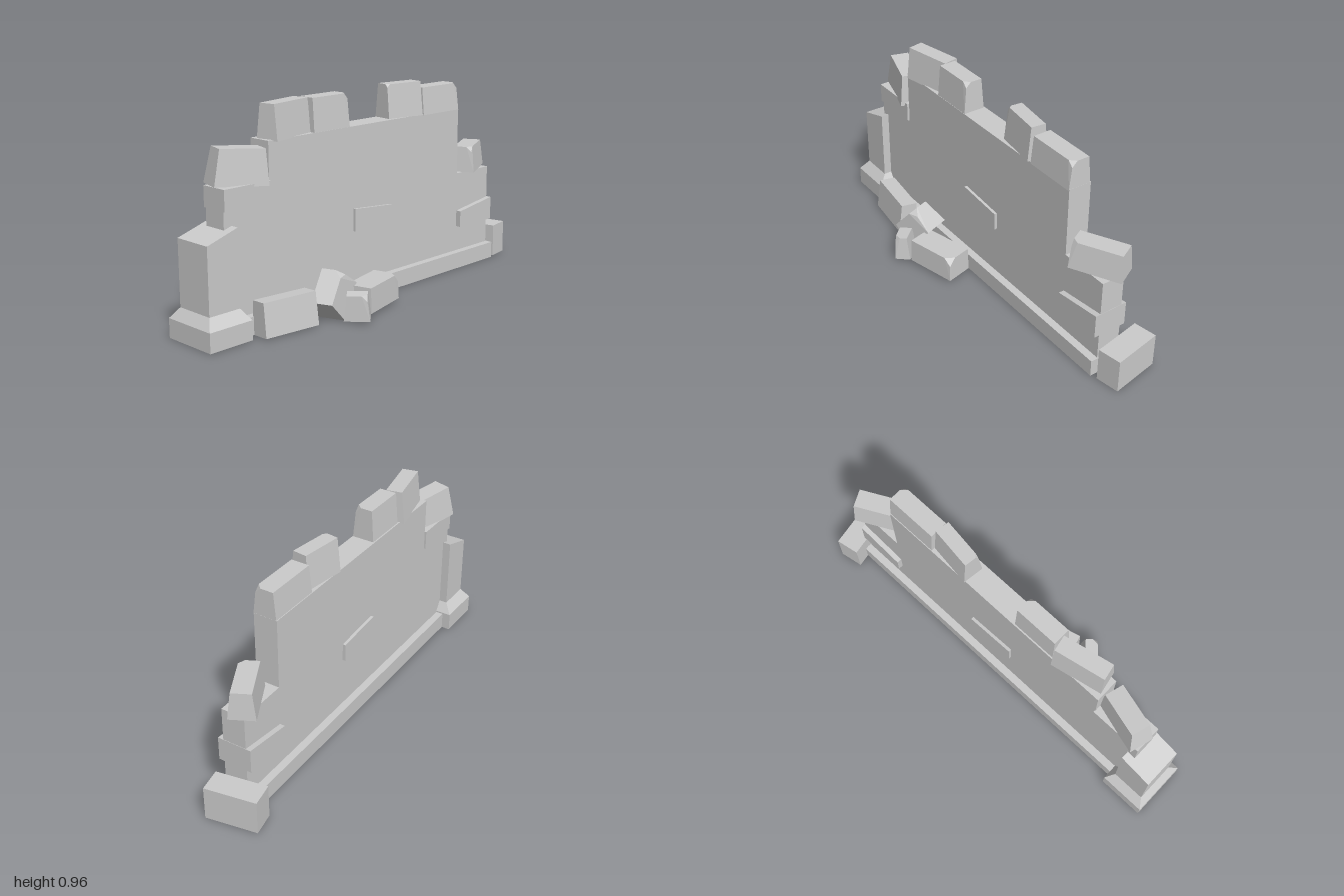
import * as THREE from 'three';
import { ConvexGeometry } from 'three/addons/geometries/ConvexGeometry.js';

const material = new THREE.MeshStandardMaterial({ color: 0xcccccc, flatShading: true });

function hull(name, points) {
  const mesh = new THREE.Mesh(new ConvexGeometry(points.map(p => new THREE.Vector3(...p))), material);
  mesh.name = name;
  return mesh;
}

// Block centred on its own origin, narrowing upward; chip cuts one top corner [sx, sz].
function stone(name, { size: [w, h, l], top: [tw, tl], at, yaw = 0, pitch = 0, roll = 0, chip, cut = 0.025 }) {
  const points = [];
  for (const sx of [-1, 1]) for (const sz of [-1, 1]) {
    points.push([sx * w / 2, -h / 2, sz * l / 2]);
    const x = sx * tw / 2, z = sz * tl / 2;
    if (chip && chip[0] === sx && chip[1] === sz) {
      points.push([x - sx * cut, h / 2, z], [x, h / 2, z - sz * cut], [x, h / 2 - cut, z]);
    } else points.push([x, h / 2, z]);
  }
  const mesh = hull(name, points);
  mesh.position.set(...at);
  mesh.rotation.set(pitch, yaw, roll, 'YXZ');
  return mesh;
}

// Straight-sided block whose top slopes from yA at zA to yB at zB.
function slopedBlock(name, x0, x1, y0, zA, yA, zB, yB) {
  const points = [];
  for (const x of [x0, x1]) points.push([x, y0, zA], [x, yA, zA], [x, y0, zB], [x, yB, zB]);
  return hull(name, points);
}

export function createModel() {
  const group = new THREE.Group();
  group.name = 'ruinedWall';

  // Stepped wall slab, outlined in (z, y)
  const outline = new THREE.Shape([
    [-0.86, 0], [0.85, 0], [0.85, 0.55], [0.605, 0.55], [0.605, 0.8],
    [-0.62, 0.8], [-0.62, 0.475], [-0.86, 0.475],
  ].map(p => new THREE.Vector2(...p)));
  const wall = new THREE.Mesh(
    new THREE.ExtrudeGeometry(outline, { depth: 0.113, bevelEnabled: false }), material);
  wall.name = 'wall';
  wall.rotation.y = -Math.PI / 2;
  wall.position.x = -0.026;
  group.add(wall);

  // Plinth along the foot of the wall
  group.add(slopedBlock('plinth', -0.175, 0.01, 0, -0.865, 0.08, 0.9, 0.08));

  // End pillar with broken sloping top, on a chamfered base
  group.add(slopedBlock('pillar', -0.178, 0.013, 0.1, 0.81, 0.478, 0.968, 0.43));
  const base = [];
  for (const [y, x0, x1, z0, z1] of [
    [0, -0.216, 0.054, 0.78, 1], [0.087, -0.216, 0.054, 0.78, 1], [0.135, -0.178, 0.013, 0.81, 0.968],
  ]) for (const x of [x0, x1]) base.push([x, y, z0], [x, y, z1]);
  group.add(hull('pillarBase', base));

  // Stones standing slightly proud of both wall faces
  group.add(slopedBlock('middleStone', -0.153, -0.013, 0.32, -0.13, 0.405, 0.11, 0.425));
  group.add(slopedBlock('backStone', -0.163, 0.0, 0.205, -0.862, 0.318, -0.62, 0.285));
  group.add(slopedBlock('frontStone', -0.148, -0.015, 0.543, 0.603, 0.635, 0.852, 0.635));

  // Loose blocks on top of the wall
  const crown = [
    { size: [0.108, 0.155, 0.242], top: [0.075, 0.235], at: [-0.082, 0.872, 0.465], yaw: 0.2 },
    { size: [0.106, 0.155, 0.215], top: [0.082, 0.21], at: [-0.08, 0.872, 0.235], chip: [1, -1] },
    { size: [0.1, 0.16, 0.205], top: [0.068, 0.2], at: [-0.082, 0.878, -0.255], yaw: -0.13, chip: [1, 1], cut: 0.015 },
    { size: [0.112, 0.13, 0.255], top: [0.086, 0.252], at: [-0.08, 0.86, -0.492], chip: [1, -1] },
    { size: [0.115, 0.155, 0.245], top: [0.088, 0.205], at: [-0.083, 0.706, 0.724], yaw: -0.28, pitch: -0.08 },
    { size: [0.118, 0.126, 0.238], top: [0.088, 0.225], at: [-0.085, 0.538, -0.77], yaw: 0.48, chip: [1, 1] },
  ];
  crown.forEach((s, i) => group.add(stone(`topBlock${i + 1}`, s)));

  // Footing block turned askew at the back end
  group.add(stone('backFooting', { size: [0.24, 0.16, 0.112], top: [0.24, 0.112], at: [-0.13, 0.08, -0.927], yaw: 0.18 }));

  // Fallen rubble beside the wall
  const rubble = [
    { size: [0.095, 0.15, 0.27], top: [0.08, 0.265], at: [0.063, 0.078, 0.606], yaw: -0.12, roll: 0.08 },
    { size: [0.135, 0.13, 0.185], top: [0.1, 0.165], at: [0.09, 0.112, 0.36], yaw: 0.35, pitch: 0.85, chip: [1, -1], cut: 0.035 },
    { size: [0.075, 0.115, 0.115], top: [0.06, 0.09], at: [0.2, 0.068, 0.315], yaw: -0.85, roll: -0.1, chip: [1, -1] },
    { size: [0.132, 0.115, 0.252], top: [0.125, 0.248], at: [0.117, 0.073, 0.134], yaw: 0.25, chip: [1, -1], cut: 0.035 },
  ];
  rubble.forEach((s, i) => group.add(stone(`rubble${i + 1}`, s)));

  return group;
}
